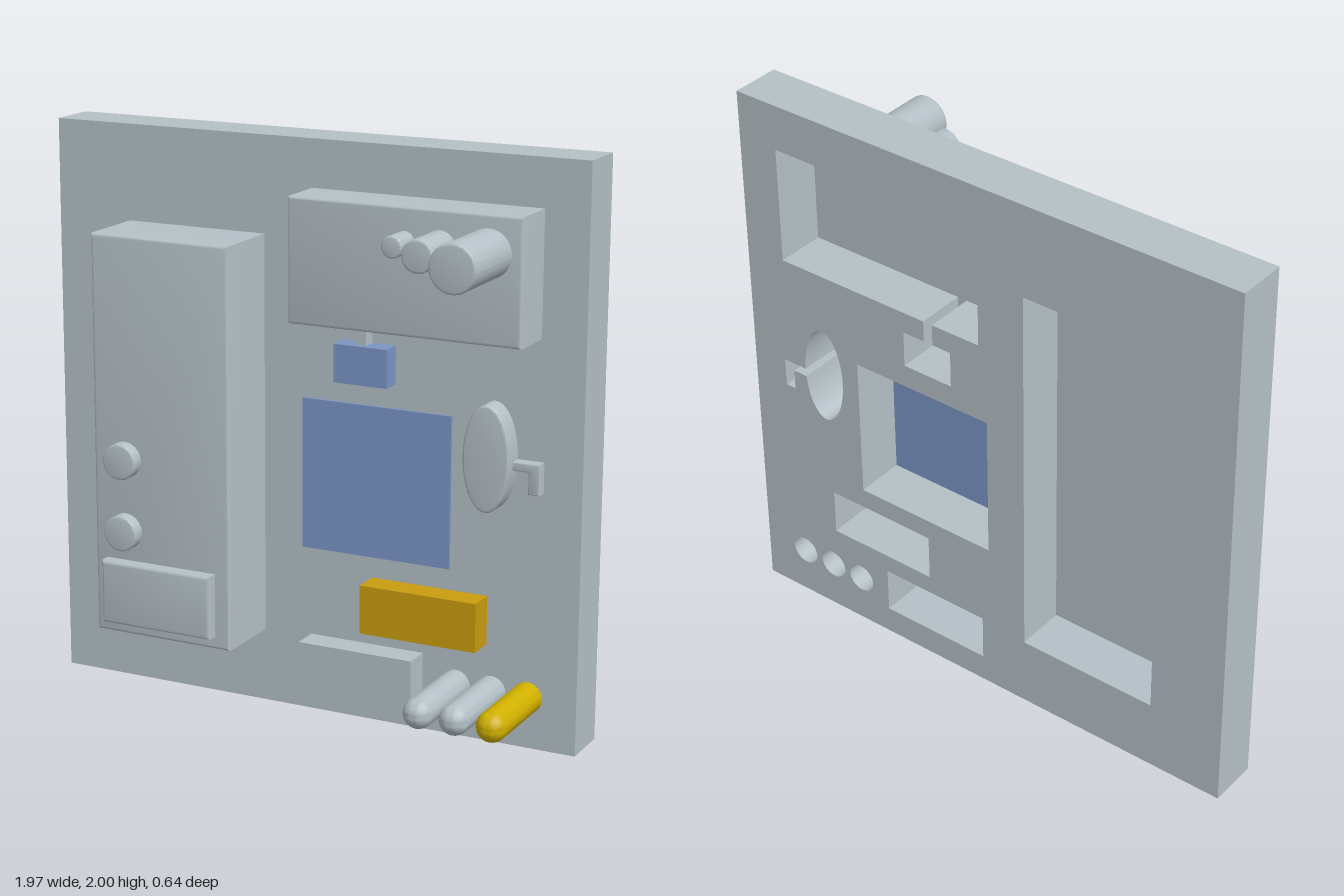
import * as THREE from 'three';
import { toCreasedNormals } from 'three/addons/utils/BufferGeometryUtils.js';

const FRONT = -0.14; // front face of the backing panel
const BACK = -0.32;

const polygon = (pts) => new THREE.Shape(pts.map(([x, y]) => new THREE.Vector2(x, y)));
const rect = (x0, x1, y0, y1) => polygon([[x0, y0], [x1, y0], [x1, y1], [x0, y1]]);
const ellipse = (x, y, rx, ry = rx) => new THREE.Shape().absellipse(x, y, rx, ry, 0, Math.PI * 2);

// Solid from z0 to z1 with a rounded front rim and a flat back
function solid(shape, z0, z1, rim = 0) {
  const geo = new THREE.ExtrudeGeometry(shape, {
    depth: z1 - z0 - rim, curveSegments: 40, bevelEnabled: rim > 0,
    bevelSize: rim, bevelThickness: rim, bevelOffset: -rim, bevelSegments: 3,
  });
  const p = geo.attributes.position;
  for (let i = 0; i < p.count; i++) p.setZ(i, Math.max(0, p.getZ(i)) + z0);
  return toCreasedNormals(geo, 0.6);
}

// Round-ended peg pointing forward
function peg(r, length) {
  const pts = [new THREE.Vector2(0, 0), new THREE.Vector2(r, 0)];
  for (let i = 0; i <= 10; i++) {
    const a = (i / 10) * Math.PI / 2;
    pts.push(new THREE.Vector2(i === 10 ? 0 : r * Math.cos(a), length - r + r * Math.sin(a)));
  }
  return toCreasedNormals(new THREE.LatheGeometry(pts, 32).rotateX(Math.PI / 2), 0.6);
}

export function createModel() {
  const group = new THREE.Group();
  const material = (name, color) => {
    const m = new THREE.MeshStandardMaterial({ color });
    m.name = name;
    return m;
  };
  const grey = material('grey', 0xb4c0c6);
  const blue = material('blue', 0x7b95c6);
  const amber = material('amber', 0xc99c10);
  const yellow = material('yellow', 0xd0b000);

  const add = (name, geo, mat = grey) => {
    const mesh = new THREE.Mesh(geo, mat);
    mesh.name = name;
    group.add(mesh);
    return mesh;
  };

  // Backing panel, cut through behind every part
  const pegXs = [0.548, 0.678, 0.81];
  const panel = rect(-0.985, 0.985, 0, 2);
  const dialCut = new THREE.Shape();
  dialCut.absellipse(0.673, 1.005, 0.083, 0.182, -0.028, Math.PI * 2 - 0.196);
  [[0.81, 0.97], [0.81, 0.895], [0.85, 0.895], [0.85, 1.0]].forEach(([x, y]) => dialCut.lineTo(x, y));
  panel.holes.push(
    rect(-0.705, -0.18, 0.26, 1.665),
    polygon([[0, 1.41], [0.19, 1.41], [0.19, 1.332], [0.117, 1.332], [0.117, 1.2], [0.312, 1.2],
      [0.312, 1.332], [0.226, 1.332], [0.226, 1.41], [0.83, 1.41], [0.83, 1.835], [0, 1.835]]),
    rect(-0.03, 0.52, 0.588, 1.117),
    rect(0.232, 0.658, 0.342, 0.513),
    rect(0, 0.425, 0.102, 0.273),
    dialCut,
    ...pegXs.map((x) => ellipse(x, 0.18, 0.053)),
  );
  add('backingPanel', solid(panel, BACK, FRONT));

  // Tall housing with two buttons and a raised plate
  add('tallHousing', solid(rect(-0.705, -0.18, 0.26, 1.665), FRONT, 0.122, 0.012));
  for (const y of [0.89, 0.635]) add('button', solid(ellipse(-0.583, y, 0.063), 0.12, 0.167, 0.007));
  add('raisedPlate', solid(rect(-0.658, -0.235, 0.305, 0.53), 0.12, 0.167, 0.012));

  // Upper housing with three knobs of growing size
  add('upperHousing', solid(rect(0, 0.83, 1.41, 1.835), FRONT, 0.037, 0.009));
  for (const [x, y, r, z] of [[0.42, 1.72, 0.037, 0.135], [0.545, 1.715, 0.055, 0.213], [0.712, 1.71, 0.081, 0.318]]) {
    add('knob', solid(ellipse(x, y, r), 0.03, z, 0.007));
  }

  // Connector and blue blocks
  add('connector', solid(rect(0.19, 0.226, 1.33, 1.412), FRONT, -0.09));
  add('smallBlock', solid(rect(0.117, 0.312, 1.2, 1.332), FRONT, -0.07), blue);
  add('screen', solid(rect(-0.03, 0.52, 0.588, 1.117), FRONT, -0.13), blue);

  // Oval dial with a bent handle
  add('ovalDial', solid(ellipse(0.673, 1.005, 0.083, 0.182), FRONT, -0.063, 0.008));
  add('handle', solid(polygon([[0.735, 0.97], [0.81, 0.97], [0.81, 0.895], [0.85, 0.895], [0.85, 1.0], [0.735, 1.0]]),
    FRONT, -0.1, 0.004));

  // Lower blocks
  add('amberBlock', solid(rect(0.232, 0.658, 0.342, 0.513), FRONT, -0.043), amber);
  add('greyBlock', solid(rect(0, 0.425, 0.102, 0.273), FRONT, -0.043));

  // Row of round-ended pegs
  pegXs.forEach((x, i) => add('peg', peg(0.053, 0.35), i === 2 ? yellow : grey).position.set(x, 0.18, FRONT));

  // Centre the depth
  return group;
}
